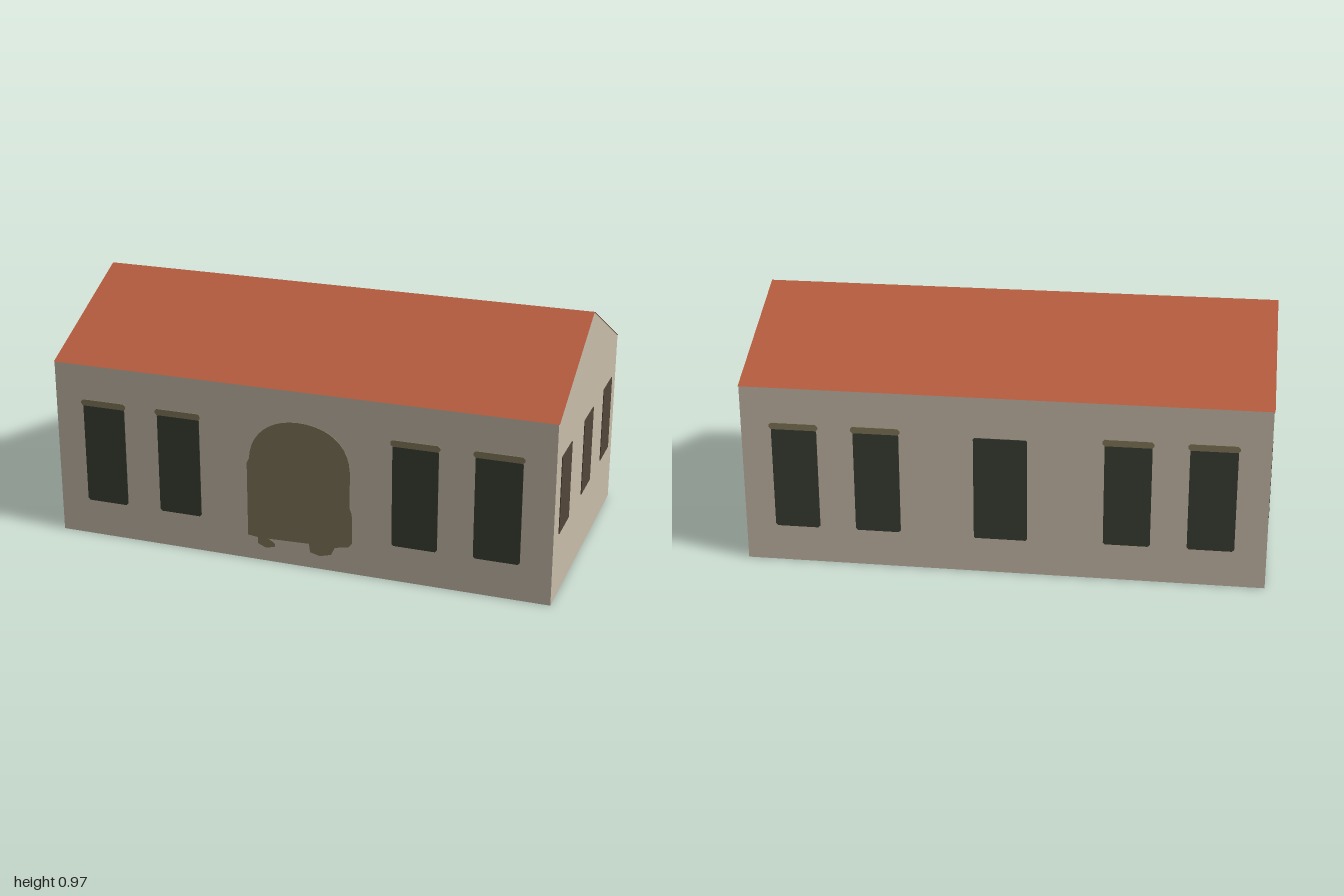
import * as THREE from 'three';

const HX = 0.997, HZ = 0.531, EAVE = 0.71, RIDGE = 0.967, T = 0.006;

function material(name, color, side = THREE.FrontSide) {
  const m = new THREE.MeshStandardMaterial({ color, side });
  m.name = name;
  return m;
}

const poly = (pts) => new THREE.Shape(pts.map(([x, y]) => new THREE.Vector2(x, y)));

// rectangle with clipped corners
const panel = (x0, x1, y0, y1, c) => poly([
  [x0 + c, y0], [x1 - c, y0], [x1, y0 + c], [x1, y1 - c],
  [x1 - c, y1], [x0 + c, y1], [x0, y1 - c], [x0, y0 + c],
]);

export function createModel() {
  const model = new THREE.Group();
  model.name = 'hall';
  const wallMat = material('plaster', 0xcabeab, THREE.DoubleSide);
  const roofMat = material('roofTile', 0xb85d40, THREE.DoubleSide);
  const glassMat = material('darkGreenGlass', 0x3c4134);
  const sideGlassMat = material('brownGlass', 0x524639);
  const stoneMat = material('oliveStone', 0x82785b);

  const add = (parent, name, geometry, mat) => {
    const mesh = new THREE.Mesh(geometry, mat);
    mesh.name = name;
    parent.add(mesh);
    return mesh;
  };
  // thin plate straddling the wall, so it shows inside and outside
  const plate = (parent, name, shape, mat, depth = T) => {
    const g = new THREE.ExtrudeGeometry(shape, { depth, bevelEnabled: false, curveSegments: 10 });
    g.translate(0, 0, -depth / 2);
    return add(parent, name, g, mat);
  };
  // each wall is drawn facing +z, then turned into place
  const wall = (name, outline, angle, distance) => {
    const group = new THREE.Group();
    group.name = name;
    add(group, name + 'Plaster', new THREE.ShapeGeometry(poly(outline)), wallMat);
    group.rotation.y = angle;
    group.position.set(Math.sin(angle) * distance, 0, Math.cos(angle) * distance);
    model.add(group);
    return group;
  };

  // long walls with two lintelled windows on either side of the middle
  const longOutline = [[-HX, 0], [HX, 0], [HX, EAVE], [-HX, EAVE]];
  const front = wall('frontWall', longOutline, 0, HZ);
  const back = wall('backWall', longOutline, Math.PI, HZ);
  for (const w of [front, back]) {
    for (const [x0, x1] of [[-0.88, -0.705], [-0.565, -0.39], [0.385, 0.562], [0.7, 0.877]]) {
      plate(w, 'window', panel(x0, x1, 0.145, 0.55, 0.008), glassMat);
      plate(w, 'lintel', panel(x0 - 0.008, x1 + 0.006, 0.545, 0.57, 0.008), stoneMat, T + 0.002);
    }
  }
  plate(back, 'middleWindow', panel(-0.107, 0.097, 0.14, 0.55, 0.006), glassMat);

  // arched doorway with a worn lower edge
  const arch = poly([[-0.195, 0.1], [-0.155, 0.095], [-0.155, 0.07], [-0.12, 0.055], [-0.085, 0.065],
    [-0.085, 0.08], [-0.11, 0.095], [0.055, 0.1], [0.06, 0.065], [0.1, 0.055], [0.145, 0.068],
    [0.16, 0.1], [0.215, 0.11], [0.23, 0.13], [0.228, 0.25], [0.22, 0.27]]);
  arch.lineTo(0.22, 0.42);
  arch.bezierCurveTo(0.215, 0.53, 0.13, 0.588, 0.015, 0.588);
  arch.bezierCurveTo(-0.1, 0.588, -0.18, 0.52, -0.185, 0.42);
  arch.lineTo(-0.195, 0.4);
  plate(front, 'archedDoor', arch, stoneMat);

  // gable walls with three windows each
  const gable = [[-HZ, 0], [HZ, 0], [HZ, EAVE], [0, RIDGE], [-HZ, EAVE]];
  for (const [name, angle] of [['rightGable', Math.PI / 2], ['leftGable', -Math.PI / 2]]) {
    const w = wall(name, gable, angle, HX);
    for (const [x0, x1] of [[-0.45, -0.288], [-0.07, 0.09], [0.29, 0.45]]) {
      plate(w, 'gableWindow', panel(x0, x1, 0.252, 0.557, 0.003), sideGlassMat);
    }
  }

  // two roof slopes meeting at the ridge
  const rise = RIDGE - EAVE;
  for (const s of [1, -1]) {
    const g = new THREE.PlaneGeometry(2, Math.hypot(HZ, rise));
    g.rotateX(-Math.atan2(HZ, rise));
    if (s < 0) g.rotateY(Math.PI);
    add(model, s > 0 ? 'frontRoof' : 'backRoof', g, roofMat)
      .position.set(0, (EAVE + RIDGE) / 2, s * HZ / 2);
  }
  return model;
}
